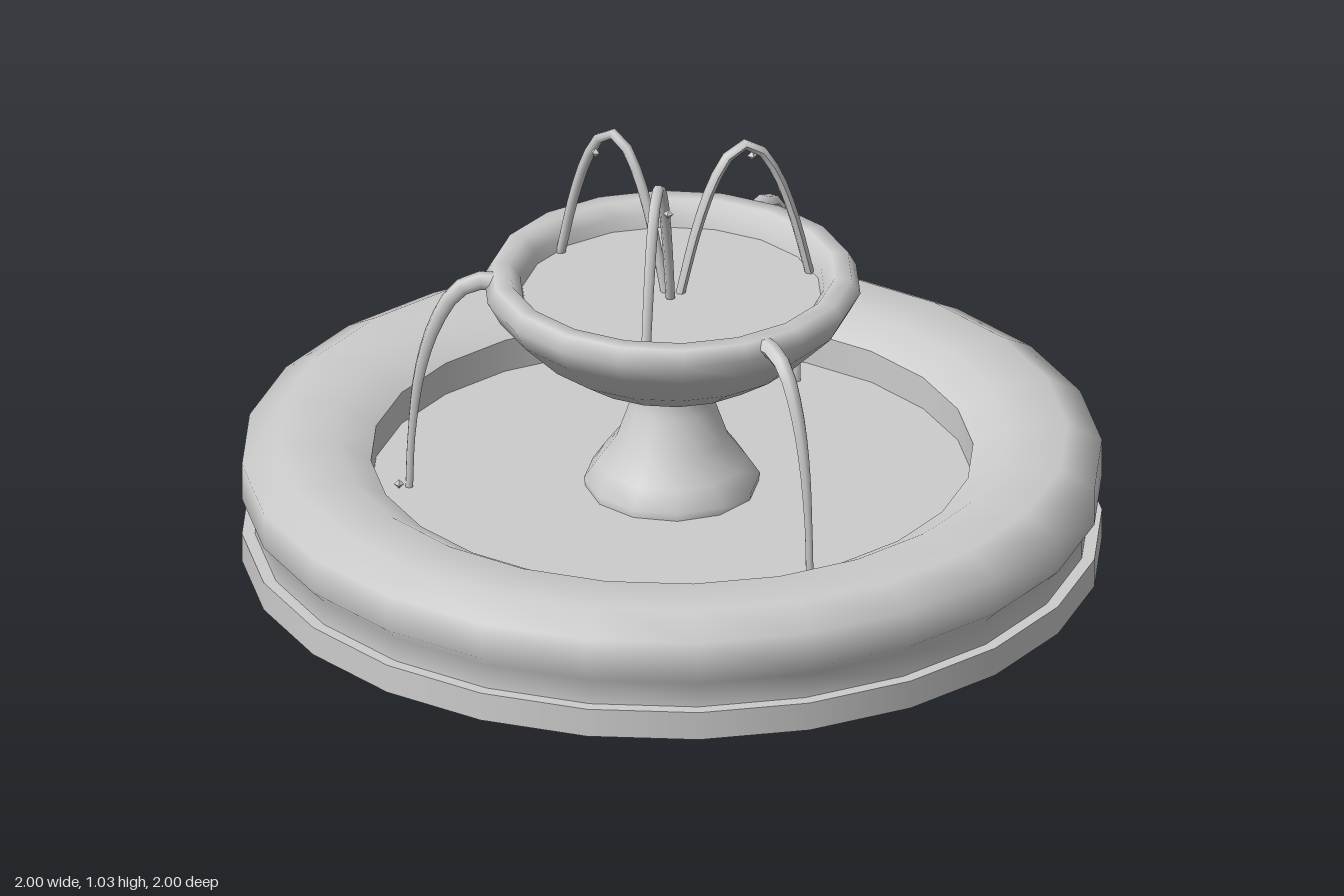
import * as THREE from 'three';

const stone = new THREE.MeshStandardMaterial({ color: 0xcccccc });
stone.name = 'stone grey';

const DEG = Math.PI / 180;

function add(parent, name, geometry) {
  const mesh = new THREE.Mesh(geometry, stone);
  mesh.name = name;
  parent.add(mesh);
  return mesh;
}

// One smooth lathe per profile; separate profiles meet at sharp edges
function turned(name, sides, profiles) {
  const group = new THREE.Group();
  group.name = name;
  profiles.forEach((profile, i) => {
    const points = profile.map(([r, y]) => new THREE.Vector2(r, y));
    add(group, name + 'Section' + (i + 1), new THREE.LatheGeometry(points, sides));
  });
  return group;
}

// Tube whose radius changes along its length
function taperedTube(points, radiusAt, steps) {
  const curve = new THREE.CatmullRomCurve3(points);
  const sides = 6;
  const geometry = new THREE.TubeGeometry(curve, steps, 1, sides);
  const pos = geometry.attributes.position;
  const v = new THREE.Vector3();
  for (let i = 0; i <= steps; i++) {
    const centre = curve.getPointAt(i / steps);
    for (let j = 0; j <= sides; j++) {
      const k = i * (sides + 1) + j;
      v.fromBufferAttribute(pos, k).sub(centre).multiplyScalar(radiusAt(i / steps)).add(centre);
      pos.setXYZ(k, v.x, v.y, v.z);
    }
  }
  geometry.computeVertexNormals();
  return geometry;
}

// Jet in the x-y plane with a droplet beside it, turned towards an angle
function waterJet(name, angle, path, radiusAt, steps, drop) {
  const group = new THREE.Group();
  group.name = name;
  add(group, name + 'Stream', taperedTube(path.map(([r, y]) => new THREE.Vector3(r, y, 0)), radiusAt, steps));
  const [r, y, swing] = drop;
  add(group, name + 'Droplet', new THREE.OctahedronGeometry(0.012))
    .position.set(r * Math.cos(swing * DEG), y, r * Math.sin(swing * DEG));
  group.rotation.y = -angle * DEG;
  return group;
}

export function createModel() {
  const model = new THREE.Group();
  model.name = 'fountain';

  // Outer basin ring, open underneath
  model.add(turned('basin', 24, [
    [[0.7, 0], [1, 0]],
    [[1, 0], [1, 0.07]],
    [[1, 0.07], [0.97, 0.07]],
    [[0.97, 0.07], [0.97, 0.13], [1, 0.16], [1, 0.25], [0.92, 0.295], [0.78, 0.295], [0.7, 0.25]],
    [[0.7, 0.25], [0.7, 0]],
  ]));
  const pool = add(model, 'poolWater', new THREE.CylinderGeometry(0.7, 0.7, 0.008, 24));
  pool.position.y = 0.166;

  // Flared pedestal
  model.add(turned('pedestal', 12, [
    [[0, 0.16], [0.2, 0.16]],
    [[0.2, 0.16], [0.205, 0.19], [0.175, 0.235], [0.13, 0.295], [0.1, 0.38], [0.08, 0.44], [0.11, 0.475]],
  ]));

  // Upper bowl and its water
  model.add(turned('bowl', 18, [
    [[0, 0.467], [0.2, 0.467]],
    [[0.2, 0.467], [0.23, 0.48], [0.32, 0.54], [0.41, 0.63], [0.44, 0.685], [0.42, 0.72], [0.38, 0.72], [0.355, 0.69], [0.345, 0.64]],
  ]));
  const bowlWater = add(model, 'bowlWater', new THREE.CylinderGeometry(0.35, 0.35, 0.008, 18));
  bowlWater.position.y = 0.656;

  // Three arching jets rising from the bowl
  const arch = [];
  for (let i = 0; i <= 8; i++) {
    const s = i / 4 - 1;
    arch.push([0.18 + 0.16 * s, 0.655 + 0.362 * (1 - s * s)]);
  }
  [-16, 104, 224].forEach((angle, i) => {
    model.add(waterJet('upperJet' + (i + 1), angle, arch, (t) => 0.011 + 0.002 * Math.sin(t * Math.PI), 16, [0.21, 0.97, -8]));
  });

  // Three streams spilling over the bowl rim into the pool
  const spill = [[0.4, 0.697], [0.45, 0.7], [0.5, 0.675], [0.55, 0.59], [0.585, 0.47], [0.605, 0.3], [0.61, 0.165]];
  [62, 182, 302].forEach((angle, i) => {
    model.add(waterJet('spillStream' + (i + 1), angle, spill, (t) => 0.023 - 0.013 * Math.min(1, t * 1.3), 14, [0.635, 0.19, -2.5]));
  });

  return model;
}
